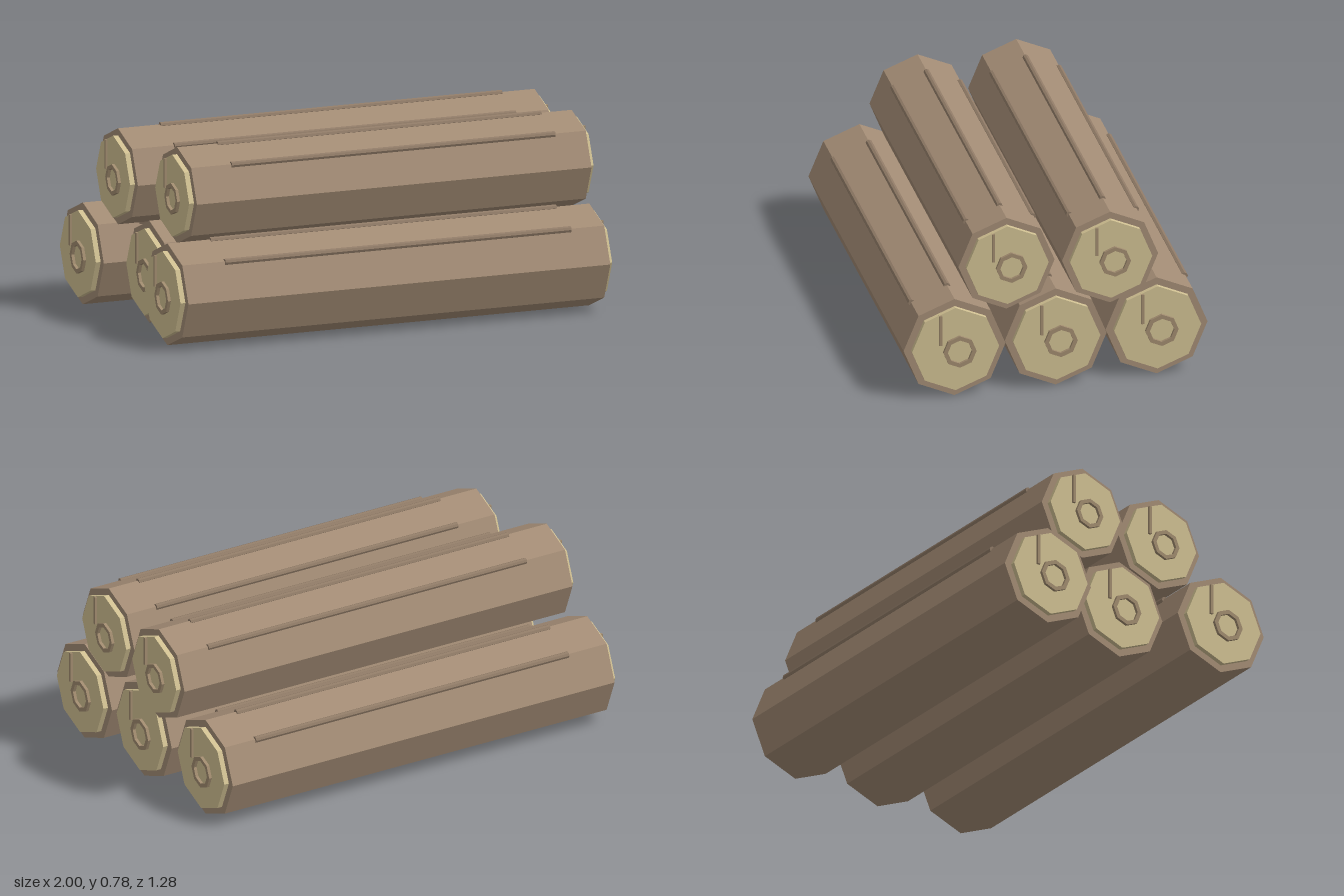
import * as THREE from 'three';

const material = (color) => new THREE.MeshStandardMaterial({ color, flatShading: true });
const bark = material(0xa28b74);
const ridgeBark = material(0x8f7a66);
const cutWood = material(0xcfbf91);
const grain = material(0x9f8a6e);

// Octagonal prism lying along x, with a corner pointing straight up
function prism(radius, length, sides = 8) {
  return new THREE.CylinderGeometry(radius, radius, length, sides).rotateZ(Math.PI / 2);
}

// Flat octagonal ring facing +x
function ringGeometry(outer, inner, depth) {
  const corners = (r) => Array.from({ length: 8 }, (_, i) =>
    new THREE.Vector2(r * Math.cos(i * Math.PI / 4), r * Math.sin(i * Math.PI / 4)));
  const shape = new THREE.Shape(corners(outer));
  shape.holes.push(new THREE.Path(corners(inner)));
  return new THREE.ExtrudeGeometry(shape, { depth, bevelEnabled: false }).rotateY(Math.PI / 2);
}

function addMesh(parent, name, geometry, mat, x, y, z) {
  const mesh = new THREE.Mesh(geometry, mat);
  mesh.name = name;
  mesh.position.set(x, y, z);
  parent.add(mesh);
}

// Sawn end, built facing +x from the end of the bark
function makeEnd(r) {
  const end = new THREE.Group();
  end.name = 'sawnEnd';
  addMesh(end, 'endCap', prism(0.855 * r, 0.042), cutWood, 0.001, 0, 0);
  addMesh(end, 'growthRing', ringGeometry(0.325 * r, 0.24 * r, 0.023), grain, 0.012, -0.045 * r, -0.075 * r);
  addMesh(end, 'crack', new THREE.BoxGeometry(0.02, 0.61 * r, 0.06 * r), grain, 0.022, 0.415 * r, 0.3 * r);
  return end;
}

function makeLog({ r, y, z, from, to }) {
  const log = new THREE.Group();
  log.name = 'log';
  const length = to - from;
  log.position.set((from + to) / 2, y, z);
  addMesh(log, 'barkBody', prism(r, length), bark, 0, 0, 0);

  // Raised bark ridges along the three upper corners
  for (const angle of [-Math.PI / 4, 0, Math.PI / 4]) {
    addMesh(log, 'barkRidge', prism(0.065 * r, 0.82 * length), ridgeBark,
      0.02, 0.98 * r * Math.cos(angle), 0.98 * r * Math.sin(angle));
  }

  // Both ends, one turned half a circle
  for (const side of [1, -1]) {
    const end = makeEnd(r);
    end.position.x = side * length / 2;
    if (side < 0) end.rotation.y = Math.PI;
    log.add(end);
  }
  return log;
}

export function createModel() {
  const pile = new THREE.Group();
  pile.name = 'logPile';
  const logs = [
    // lower row
    { r: 0.213, y: 0.216, z: 0.428, from: -0.963, to: 0.924 },
    { r: 0.213, y: 0.216, z: 0, from: -0.855, to: 0.9 },
    { r: 0.213, y: 0.216, z: -0.428, from: -0.963, to: 0.87 },
    // upper row
    { r: 0.201, y: 0.576, z: 0.214, from: -0.825, to: 0.94 },
    { r: 0.201, y: 0.576, z: -0.214, from: -0.9, to: 0.963 },
  ];
  for (const spec of logs) pile.add(makeLog(spec));
  return pile;
}
